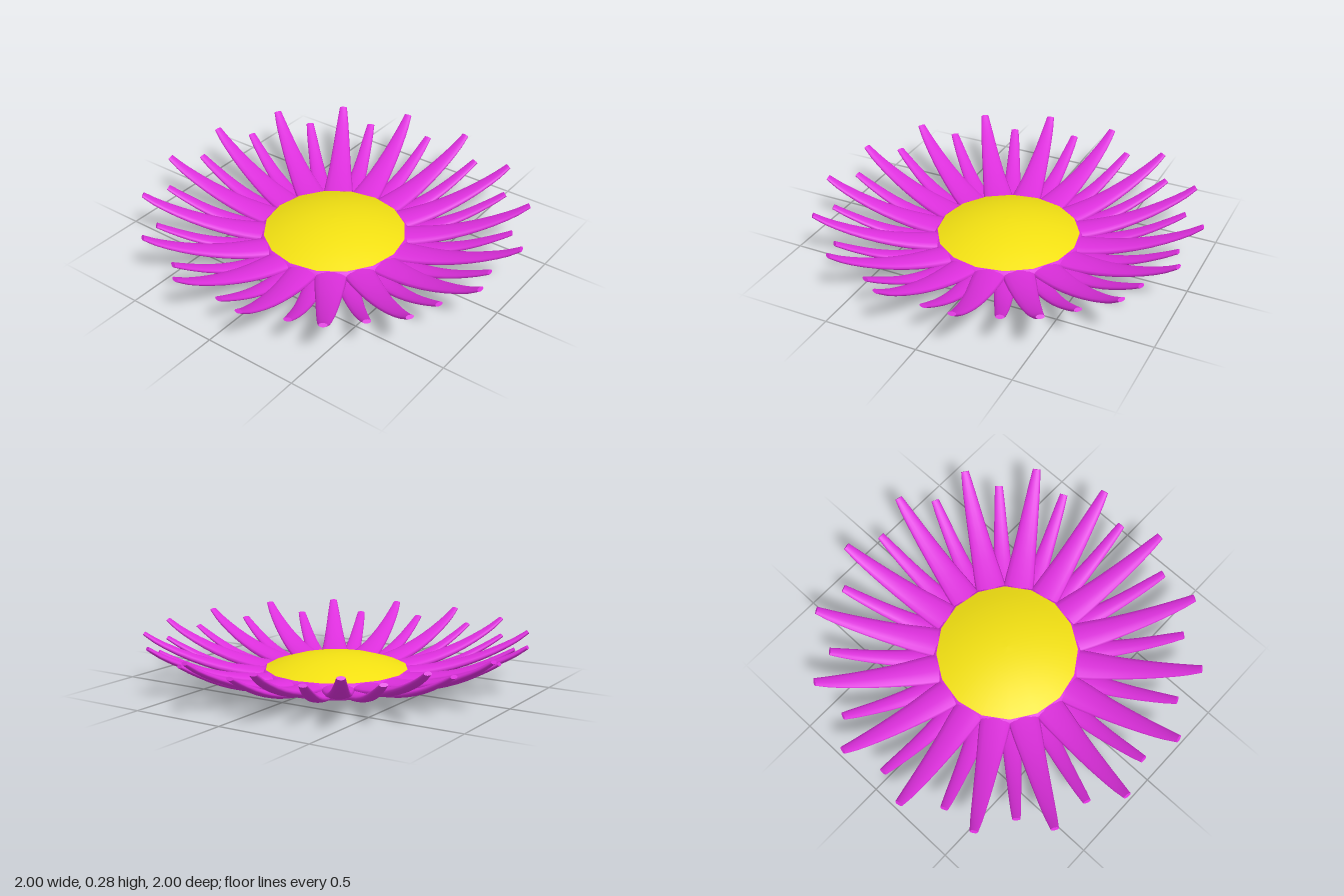
import * as THREE from 'three';

const PURPLE = new THREE.MeshStandardMaterial({ color: 0xdd2fdd });
const YELLOW = new THREE.MeshStandardMaterial({ color: 0xf2e012 });
const SIDES = 14, STEPS = 12;

// Petal lofted outwards along +z; stations are [radius, height, half width, half thickness]
function petalGeometry(stations) {
  const path = new THREE.CatmullRomCurve3(stations.map(([r, y]) => new THREE.Vector3(0, y, r)));
  const size = new THREE.CatmullRomCurve3(stations.map(([, , w, t]) => new THREE.Vector3(w, t, 0)));
  const pos = [], idx = [];
  const ring = (u) => {
    const p = path.getPoint(u), d = path.getTangent(u), s = size.getPoint(u);
    for (let j = 0; j < SIDES; j++) {
      const a = (j / SIDES) * Math.PI * 2;
      const v = Math.sin(a) * s.y;
      pos.push(Math.cos(a) * s.x, p.y + v * d.z, p.z - v * d.y);
    }
  };
  for (let i = 0; i <= STEPS; i++) ring(i / STEPS);
  for (let i = 0; i < STEPS; i++) {
    for (let j = 0; j < SIDES; j++) {
      const a = i * SIDES + j, b = i * SIDES + (j + 1) % SIDES;
      idx.push(a, b, a + SIDES, b, b + SIDES, a + SIDES);
    }
  }
  // Flat cut tip with its own vertices, so the edge stays sharp
  const cap = pos.length / 3;
  ring(1);
  for (let j = 1; j < SIDES - 1; j++) idx.push(cap, cap + j, cap + j + 1);
  const g = new THREE.BufferGeometry();
  g.setAttribute('position', new THREE.Float32BufferAttribute(pos, 3));
  g.setIndex(idx);
  g.computeVertexNormals();
  return g;
}

function petalRing(name, geometry, offset) {
  const group = new THREE.Group();
  group.name = name + 's';
  for (let i = 0; i < 16; i++) {
    const petal = new THREE.Mesh(geometry, PURPLE);
    petal.name = name;
    petal.rotation.y = offset + (i / 16) * Math.PI * 2;
    group.add(petal);
  }
  return group;
}

function lathe(name, points, segments, material) {
  const profile = points.map(([x, y]) => new THREE.Vector2(x, y));
  const mesh = new THREE.Mesh(new THREE.LatheGeometry(profile, segments), material);
  mesh.name = name;
  return mesh;
}

export function createModel() {
  const model = new THREE.Group();
  model.name = 'flower';

  // Purple base disc that the petals grow from
  model.add(lathe('base', [[0, 0], [0.37, 0], [0.395, 0.004], [0.41, 0.025],
    [0.405, 0.055], [0.385, 0.08], [0.36, 0.088], [0, 0.088]], 48, PURPLE));

  // Shallow yellow dome
  const dome = [];
  for (let i = 0; i <= 8; i++) {
    const r = 0.38 * (1 - i / 8);
    dome.push([r, 0.085 + 0.075 * (1 - (r / 0.38) ** 2)]);
  }
  model.add(lathe('flowerCentre', dome, 16, YELLOW));

  // Upper ring of long petals
  model.add(petalRing('longPetal', petalGeometry([
    [0.34, 0.052, 0.085, 0.03], [0.44, 0.06, 0.08, 0.028], [0.6, 0.088, 0.064, 0.024],
    [0.78, 0.145, 0.048, 0.019], [0.94, 0.22, 0.032, 0.014], [1.015, 0.27, 0.021, 0.01],
  ]), Math.PI / 16));

  // Lower ring of short petals, set between the long ones
  model.add(petalRing('shortPetal', petalGeometry([
    [0.34, 0.03, 0.062, 0.024], [0.44, 0.036, 0.056, 0.023], [0.58, 0.06, 0.046, 0.02],
    [0.72, 0.105, 0.037, 0.017], [0.86, 0.172, 0.028, 0.013], [0.93, 0.212, 0.021, 0.01],
  ]), 0.014));

  return model;
}
